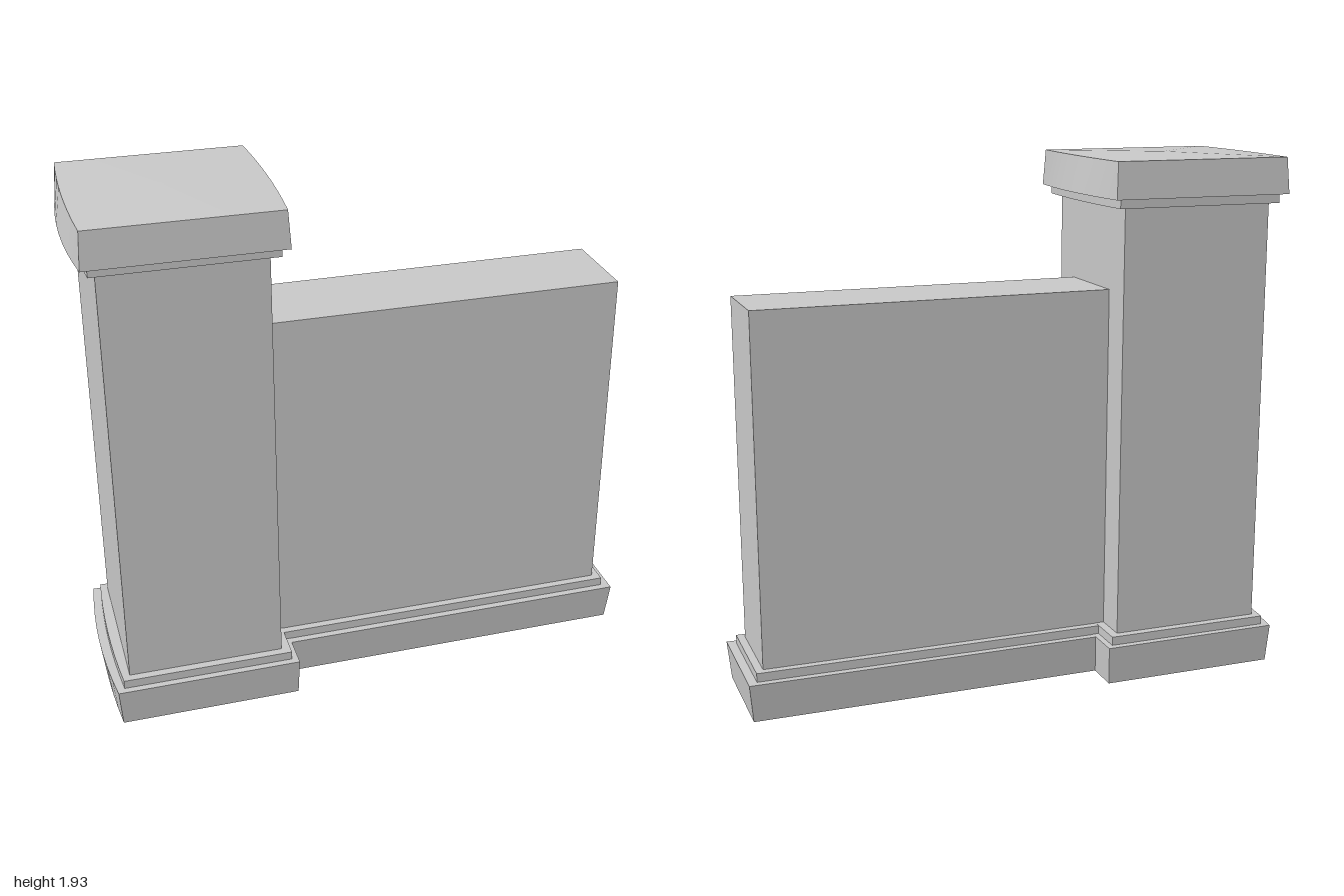
import * as THREE from 'three';
import { toCreasedNormals } from 'three/addons/utils/BufferGeometryUtils.js';

const STEPS = 8;

// Plan outline: straight front and back, ends bowed outward along x.
function outline({ x0, x1, z, y, bow0 = 0, bow1 = 0 }) {
  const pts = [];
  for (let i = 0; i <= STEPS; i++) {
    const t = -1 + (2 * i) / STEPS;
    pts.push([x0 - bow0 * (1 - t * t), y, t * z]);
  }
  for (let i = 0; i <= STEPS; i++) {
    const t = 1 - (2 * i) / STEPS;
    pts.push([x1 + bow1 * (1 - t * t), y, t * z]);
  }
  return pts;
}

// Solid between two outlines, closed by fans to a low or high centre point.
function block(bottom, top, low, high) {
  const a = outline(bottom), b = outline(top), n = a.length, pos = [];
  const tri = (...corners) => corners.forEach((p) => pos.push(...p));
  for (let i = 0; i < n; i++) {
    const j = (i + 1) % n;
    tri(a[i], a[j], b[j]);
    tri(a[i], b[j], b[i]);
    tri(high, b[i], b[j]);
    tri(low, a[j], a[i]);
  }
  const g = new THREE.BufferGeometry();
  g.setAttribute('position', new THREE.Float32BufferAttribute(pos, 3));
  return toCreasedNormals(g, 0.35);
}

// Straight-sided block with one plan.
function slab(plan, y0, y1) {
  const cx = (plan.x0 + plan.x1) / 2;
  return block({ ...plan, y: y0 }, { ...plan, y: y1 }, [cx, y0, 0], [cx, y1, 0]);
}

export function createModel() {
  const group = new THREE.Group();
  const material = new THREE.MeshStandardMaterial({ color: 0xcccccc });
  const add = (name, geometry) => {
    const mesh = new THREE.Mesh(geometry, material);
    mesh.name = name;
    group.add(mesh);
  };

  // Pillar: flared plinth, step, shaft, collar and cap
  add('pillarBase', block(
    { x0: -0.965, x1: -0.31, z: 0.33, y: 0.013, bow0: 0.018 },
    { x0: -0.975, x1: -0.305, z: 0.34, y: 0.155, bow0: 0.025 },
    [-0.64, 0.008, 0], [-0.64, 0.155, 0]));
  add('pillarBaseStep', slab({ x0: -0.95, x1: -0.328, z: 0.315, bow0: 0.015 }, 0.15, 0.187));
  add('pillarShaft', slab({ x0: -0.925, x1: -0.36, z: 0.285 }, 0.18, 1.765));
  add('pillarCollar', slab({ x0: -0.95, x1: -0.328, z: 0.315, bow0: 0.015, bow1: 0.015 }, 1.757, 1.795));
  add('pillarCap', block(
    { x0: -0.975, x1: -0.303, z: 0.34, y: 1.79, bow0: 0.025, bow1: 0.023 },
    { x0: -0.967, x1: -0.31, z: 0.33, y: 1.92, bow0: 0.013, bow1: 0.012 },
    [-0.64, 1.79, 0], [-0.64, 1.927, 0]));

  // Wall: flared plinth, step and panel, running into the pillar
  add('wallBase', block(
    { x0: -0.66, x1: 0.987, z: 0.205, y: 0.014 },
    { x0: -0.66, x1: 1, z: 0.216, y: 0.154 },
    [-0.4, 0, 0], [0, 0.154, 0]));
  add('wallBaseStep', slab({ x0: -0.65, x1: 0.968, z: 0.19 }, 0.15, 0.186));
  add('wallPanel', slab({ x0: -0.6, x1: 0.94, z: 0.162 }, 0.18, 1.455));

  return group;
}
